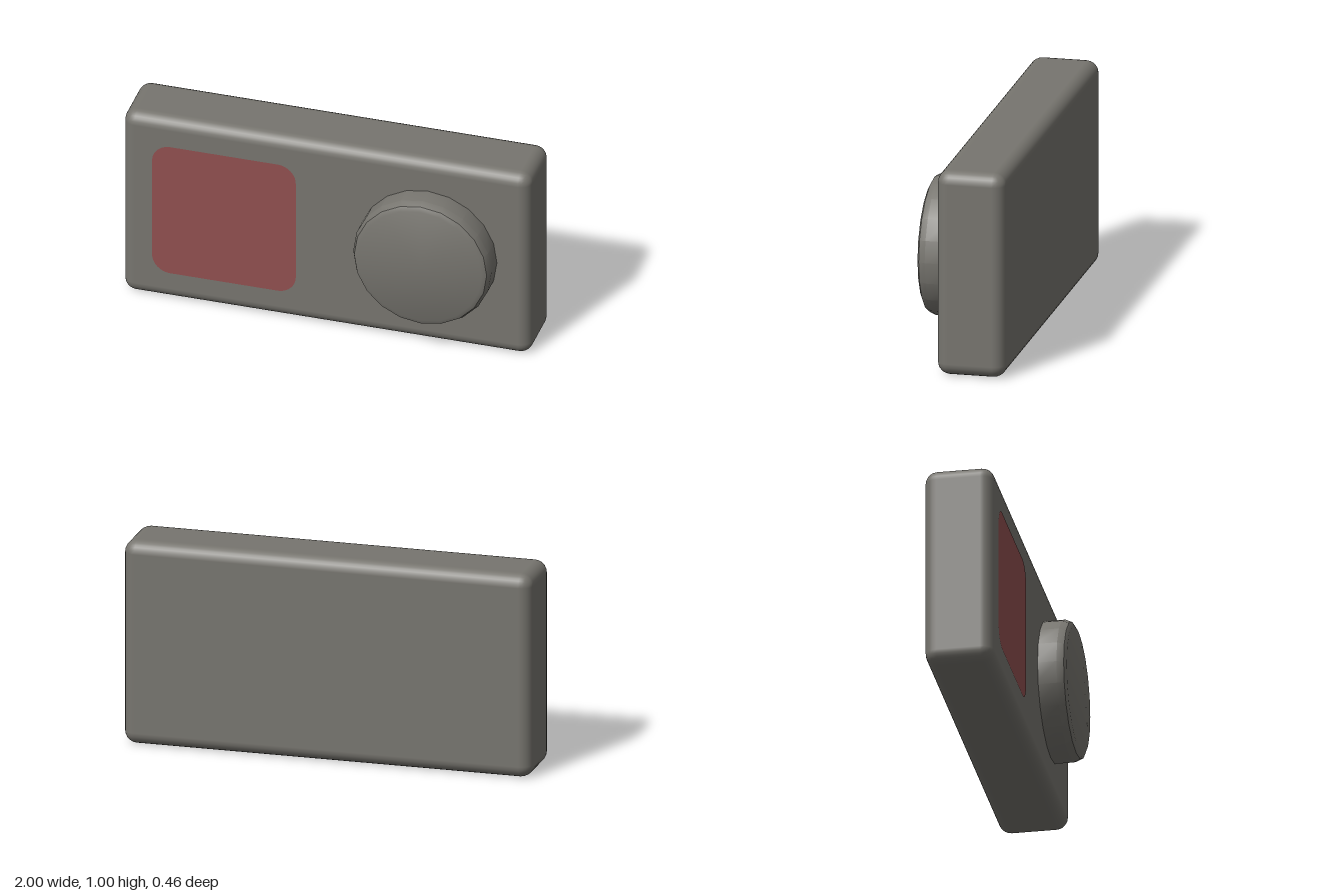
import * as THREE from 'three';
import { RoundedBoxGeometry } from 'three/addons/geometries/RoundedBoxGeometry.js';
import { toCreasedNormals } from 'three/addons/utils/BufferGeometryUtils.js';

const FRONT = 0.1, BACK = -0.23;

function roundedSquare(size, r) {
  const h = size / 2, c = h - r;
  const shape = new THREE.Shape();
  shape.absarc(c, c, r, 0, Math.PI / 2);
  shape.absarc(-c, c, r, Math.PI / 2, Math.PI);
  shape.absarc(-c, -c, r, Math.PI, Math.PI * 1.5);
  shape.absarc(c, -c, r, Math.PI * 1.5, Math.PI * 2);
  shape.closePath();
  return shape;
}

export function createModel() {
  const model = new THREE.Group();
  const bodyMaterial = new THREE.MeshStandardMaterial({ color: 0x77756f });
  const screenMaterial = new THREE.MeshStandardMaterial({ color: 0x905050 });

  function add(name, geometry, material, x, y, z) {
    const mesh = new THREE.Mesh(geometry, material);
    mesh.name = name;
    mesh.position.set(x, y, z);
    model.add(mesh);
    return mesh;
  }

  // Slab with softly rounded edges
  add('body', new RoundedBoxGeometry(2, 1, FRONT - BACK, 3, 0.06), bodyMaterial,
    0, 0.5, (FRONT + BACK) / 2);

  // Flat rounded panel, just proud of the front face
  add('screen', new THREE.ShapeGeometry(roundedSquare(0.705, 0.09), 8), screenMaterial,
    -0.5, 0.5, FRONT + 0.002);

  // Round dial with a bevelled rim, turned about z
  const profile = [[0.339, -0.02], [0.339, 0.09], [0.325, 0.122], [0.303, 0.133], [0, 0.133]]
    .map(([r, h]) => new THREE.Vector2(r, h));
  const dialGeometry = toCreasedNormals(new THREE.LatheGeometry(profile, 20), 0.5);
  add('dial', dialGeometry, bodyMaterial, 0.5, 0.5, FRONT).rotation.x = Math.PI / 2;

  return model;
}
